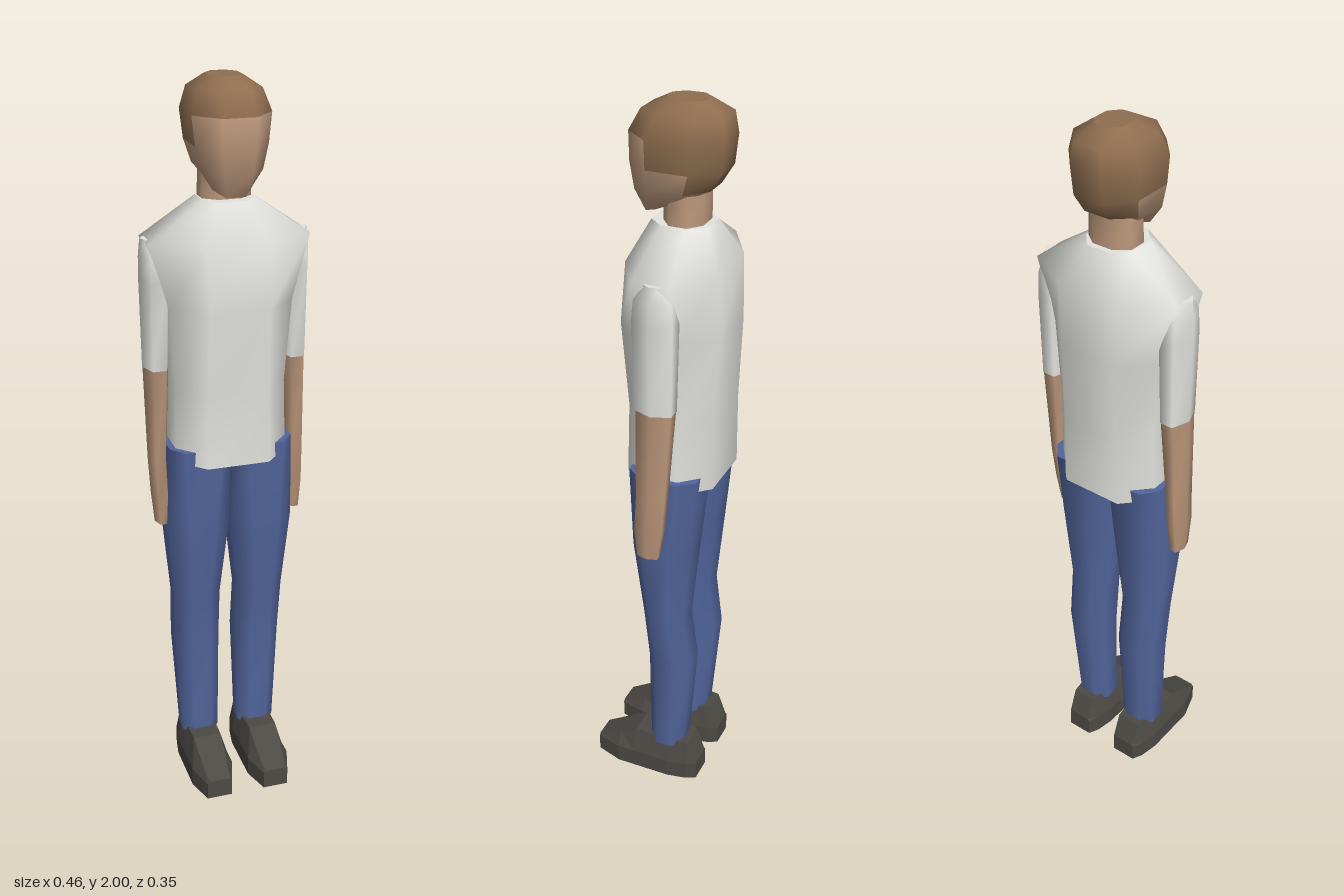
import * as THREE from 'three';

const mat = (name, color) => {
  const m = new THREE.MeshStandardMaterial({ color });
  m.name = name;
  return m;
};

// Eight-cornered ring: height, half width, front z, back z, front-face ratio, side-face ratio, centre x, drop at the front
function octagon(y, w, zf, zb, fx = 0.45, sz = 0.45, cx = 0, drop = 0) {
  const mid = (zf + zb) / 2, half = (zf - zb) / 2;
  return [[-fx, 1], [fx, 1], [1, sz], [1, -sz], [fx, -1], [-fx, -1], [-1, -sz], [-1, sz]]
    .map(([x, z]) => [cx + x * w, y - drop * (z + 1) / 2, mid + z * half]);
}

// Six-cornered ring with its points on the x axis
function hexagon(y, cx, w, zf, zb) {
  const mid = (zf + zb) / 2, half = (zf - zb) / 2;
  return [[-0.5, 1], [0.5, 1], [1, 0], [0.5, -1], [-0.5, -1], [-1, 0]]
    .map(([x, z]) => [cx + x * w, y, mid + z * half]);
}

// Skin over a stack of rings with capped ends; pick(row, column) chooses a material
function loft(name, rings, materials, { flat = false, pick = () => 0 } = {}) {
  const n = rings[0].length, last = rings.length - 1;
  const pos = rings.flat(2), faces = materials.map(() => []);
  for (let i = 0; i < last; i++) {
    for (let j = 0; j < n; j++) {
      const a = i * n + j, b = i * n + (j + 1) % n;
      faces[pick(i, j)].push(a, b, b + n, a, b + n, a + n);
    }
  }
  for (const [row, top] of [[0, false], [last, true]]) {
    const start = pos.length / 3;
    pos.push(...rings[row].flat());
    const f = faces[pick(top ? last - 1 : 0, 0)];
    for (let j = 1; j < n - 1; j++) {
      f.push(start, start + (top ? j : j + 1), start + (top ? j + 1 : j));
    }
  }
  let g = new THREE.BufferGeometry();
  g.setAttribute('position', new THREE.Float32BufferAttribute(pos, 3));
  g.setIndex(faces.flat());
  let at = 0;
  faces.forEach((f, k) => { g.addGroup(at, f.length, k); at += f.length; });
  if (flat) g = g.toNonIndexed();
  g.computeVertexNormals();
  const mesh = new THREE.Mesh(g, materials.length > 1 ? materials : materials[0]);
  mesh.name = name;
  return mesh;
}

export function createModel() {
  const model = new THREE.Group();
  model.name = 'standingMan';
  const skin = mat('skin', 0xbd987c);
  const hair = mat('hair', 0x8f6e50);
  const shirt = mat('shirt', 0xe3e3df);
  const denim = mat('denim', 0x52659c);
  const leather = mat('shoeLeather', 0x4d4a45);

  // Shirt body
  model.add(loft('shirtBody', [
    octagon(1.0, 0.155, 0.08, -0.165, 0.55, 0.41),
    octagon(1.2, 0.15, 0.075, -0.165, 0.55, 0.41),
    octagon(1.43, 0.165, 0.097, -0.175, 0.48, 0.4),
    octagon(1.6, 0.215, 0.078, -0.168, 0.4, 0.41),
    octagon(1.7, 0.07, 0.03, -0.12, 0.5, 0.45),
  ], [shirt]));

  // Neck
  model.add(loft('neck', [
    octagon(1.68, 0.066, 0.0, -0.105),
    octagon(1.79, 0.062, 0.0, -0.105),
  ], [skin]));

  // Head: hair covers the crown, comes down at the sides and reaches the nape
  const hairStart = [3, 3, 2, 1, 1, 1, 2, 3];
  model.add(loft('head', [
    octagon(1.765, 0.05, 0.05, -0.07, 0.5, 0.4, 0, 0.05),
    octagon(1.79, 0.08, 0.075, -0.125, 0.45, 0.46, 0, 0.02),
    octagon(1.84, 0.095, 0.084, -0.155, 0.45, 0.46),
    octagon(1.915, 0.103, 0.085, -0.163, 0.43, 0.46),
    octagon(1.97, 0.085, 0.055, -0.155, 0.45, 0.46),
    octagon(2.0, 0.042, -0.003, -0.105, 0.45, 0.46),
  ], [skin, hair], { pick: (i, j) => (i >= hairStart[j] ? 1 : 0) }));

  for (const [side, s] of [['left', 1], ['right', -1]]) {
    // Sleeve
    model.add(loft(side + 'Sleeve', [
      hexagon(1.26, s * 0.19, 0.036, 0.0, -0.1),
      hexagon(1.5, s * 0.188, 0.042, 0.006, -0.104),
      hexagon(1.56, s * 0.188, 0.041, 0.0, -0.1),
      hexagon(1.605, s * 0.2, 0.024, -0.03, -0.07),
    ], [shirt]));

    // Forearm and hand
    model.add(loft(side + 'Arm', [
      hexagon(0.815, s * 0.19, 0.018, 0.002, -0.056),
      hexagon(0.9, s * 0.191, 0.025, 0.008, -0.07),
      hexagon(1.0, s * 0.194, 0.026, 0.0, -0.08),
      hexagon(1.26, s * 0.19, 0.035, -0.002, -0.098),
    ], [skin]));

    // Trouser leg
    model.add(loft(side + 'TrouserLeg', [
      octagon(0.11, 0.053, 0.005, -0.095, 0.45, 0.45, s * 0.085),
      octagon(0.42, 0.064, 0.005, -0.12, 0.45, 0.45, s * 0.09),
      octagon(0.57, 0.065, 0.02, -0.1, 0.45, 0.45, s * 0.092),
      octagon(0.8, 0.087, 0.047, -0.12, 0.45, 0.45, s * 0.09),
      octagon(1.04, 0.085, 0.052, -0.14, 0.6, 0.55, s * 0.086),
    ], [denim]));

    // Shoe, from heel to toe: z, sole half width, top half width, rim height, top height
    const shoeRings = [
      [-0.143, 0.036, 0.03, 0.055, 0.06],
      [-0.115, 0.05, 0.036, 0.055, 0.125],
      [-0.06, 0.06, 0.043, 0.055, 0.125],
      [0.05, 0.06, 0.04, 0.055, 0.125],
      [0.1, 0.06, 0.038, 0.055, 0.098],
      [0.175, 0.036, 0.03, 0.05, 0.057],
    ].map(([z, w, t, rim, top]) =>
      [[-w, 0], [w, 0], [w, rim], [t, top], [-t, top], [-w, rim]]
        .map(([x, y]) => [s * 0.085 + x, y, z]));
    model.add(loft(side + 'Shoe', shoeRings, [leather], { flat: true }));
  }
  return model;
}
